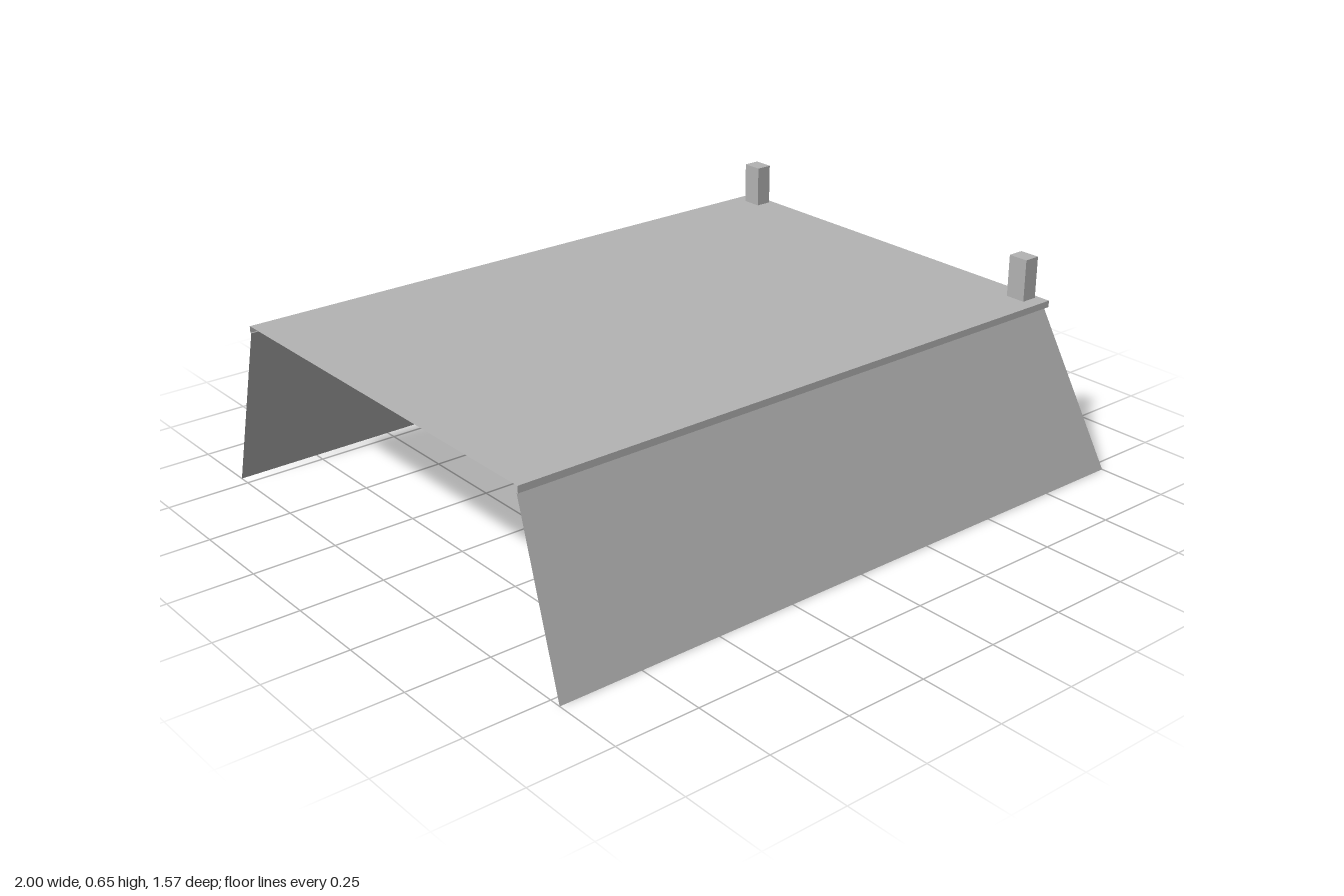
import * as THREE from 'three';

export function createModel() {
  const model = new THREE.Group();
  const grey = new THREE.MeshStandardMaterial({ color: 0xb4b4b4, side: THREE.DoubleSide });
  grey.name = 'grey';

  // Plan outline at one height, open on the -x end
  const outline = (y, x, z) => [[-1, y, z], [x, y, z], [x, y, -z], [-1, y, -z]];

  // Flat-faced mesh from a list of four-cornered faces
  function addQuads(name, quads) {
    const points = quads.flatMap(([a, b, c, d]) => [a, b, c, a, c, d]).flat();
    const geometry = new THREE.BufferGeometry();
    geometry.setAttribute('position', new THREE.Float32BufferAttribute(points, 3));
    geometry.computeVertexNormals();
    const mesh = new THREE.Mesh(geometry, grey);
    mesh.name = name;
    model.add(mesh);
  }

  // Three faces joining a lower outline to an upper one
  const band = (low, high) => [0, 1, 2].map(i => [low[i], low[i + 1], high[i + 1], high[i]]);

  const foot = outline(0, 1, 0.786);
  const wallTop = outline(0.507, 0.853, 0.638);
  const lip = outline(0.507, 0.867, 0.643);
  const roof = outline(0.527, 0.867, 0.643);

  addQuads('slopingWalls', band(foot, wallTop));
  addQuads('roofEdge', [...band(wallTop, lip), ...band(lip, roof)]);
  addQuads('roof', [roof]);

  // Corner posts at the closed end
  for (const side of [1, -1]) {
    const post = new THREE.Mesh(new THREE.BoxGeometry(0.05, 0.126, 0.062), grey);
    post.position.set(0.828, 0.59, side * 0.571);
    post.name = side > 0 ? 'frontPost' : 'backPost';
    model.add(post);
  }
  return model;
}
